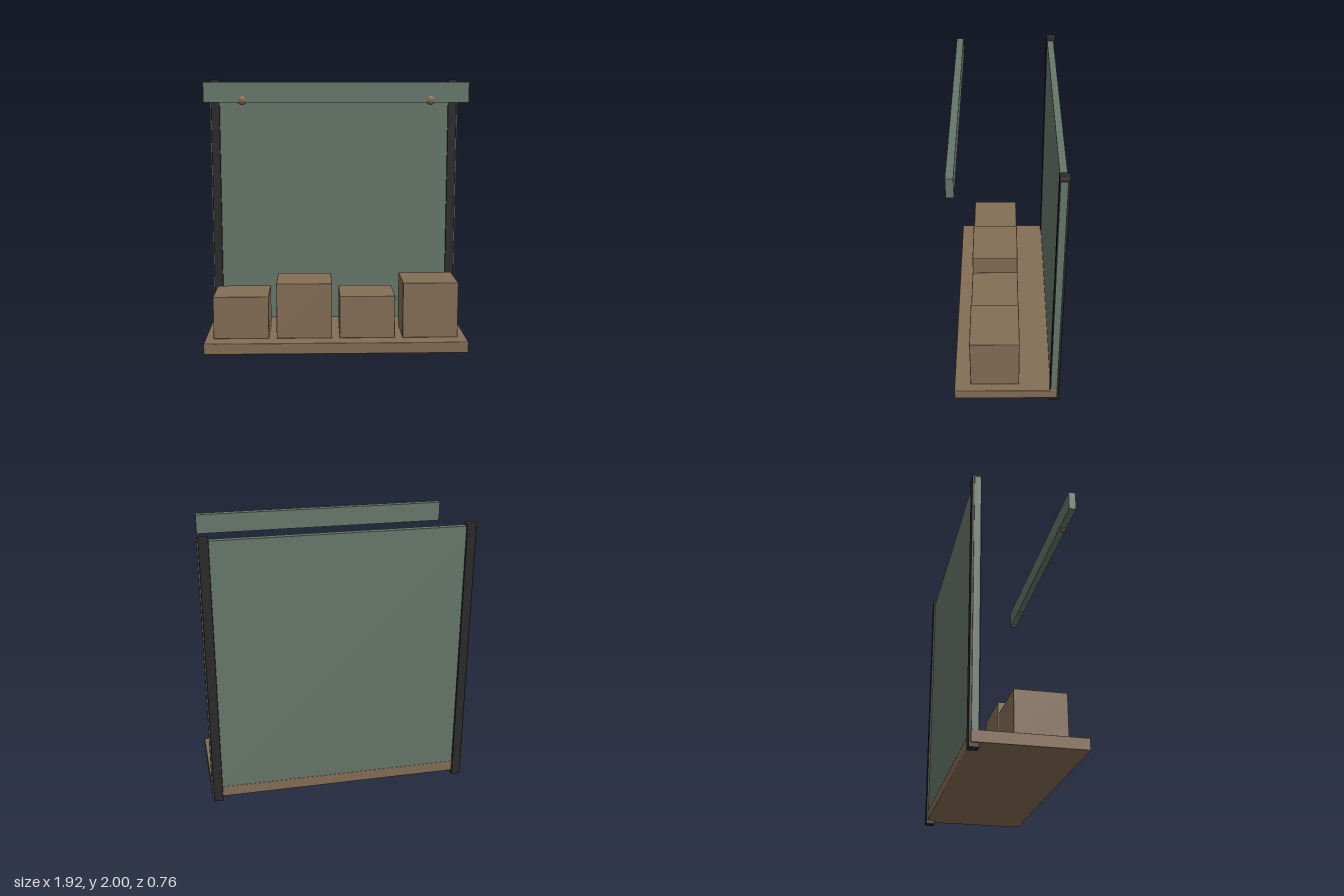
import * as THREE from 'three';
import { RoundedBoxGeometry } from 'three/addons/geometries/RoundedBoxGeometry.js';

export function createModel() {
  const model = new THREE.Group();
  model.name = 'displayStand';

  const material = (name, color) => {
    const m = new THREE.MeshStandardMaterial({ color });
    m.name = name;
    return m;
  };
  const green = material('sage green', 0x66766a);
  const brown = material('wood brown', 0x846d55);
  const black = material('charcoal', 0x2a2a2a);

  // Box given by its lower and upper corners, with optional softened edges
  function box(name, mat, [x0, y0, z0], [x1, y1, z1], bevel = 0) {
    const size = [x1 - x0, y1 - y0, z1 - z0];
    const geometry = bevel
      ? new RoundedBoxGeometry(...size, 1, bevel)
      : new THREE.BoxGeometry(...size);
    const mesh = new THREE.Mesh(geometry, mat);
    mesh.name = name;
    mesh.position.set((x0 + x1) / 2, (y0 + y1) / 2, (z0 + z1) / 2);
    model.add(mesh);
  }

  // Platform and back wall
  box('base', brown, [-0.962, 0.03, -0.37], [0.962, 0.112, 0.382], 0.006);
  box('backPanel', green, [-0.96, 0.11, -0.367], [0.96, 1.98, -0.32]);

  // Row of crates, alternating low and tall
  [0.428, 0.525, 0.428, 0.525].forEach((top, i) => {
    const x = -0.697 + i * 0.464;
    box('crate' + (i + 1), brown, [x - 0.204, 0.112, -0.092], [x + 0.204, top, 0.264], 0.005);
  });

  // Floating header beam
  box('headerBeam', green, [-0.923, 1.84, 0.32], [0.923, 1.98, 0.37]);

  // Mirrored posts and beam knobs
  for (const side of [-1, 1]) {
    const label = side > 0 ? 'left' : 'right';
    const x = side * 0.918;
    box(label + 'Post', black, [x - 0.034, 0, -0.383], [x + 0.034, 2, -0.314], 0.006);

    const knob = new THREE.Mesh(new THREE.SphereGeometry(0.036, 12, 8), brown);
    knob.name = label + 'Knob';
    knob.scale.z = 0.62;
    knob.position.set(side * 0.657, 1.859, 0.355);
    model.add(knob);
  }

  return model;
}
